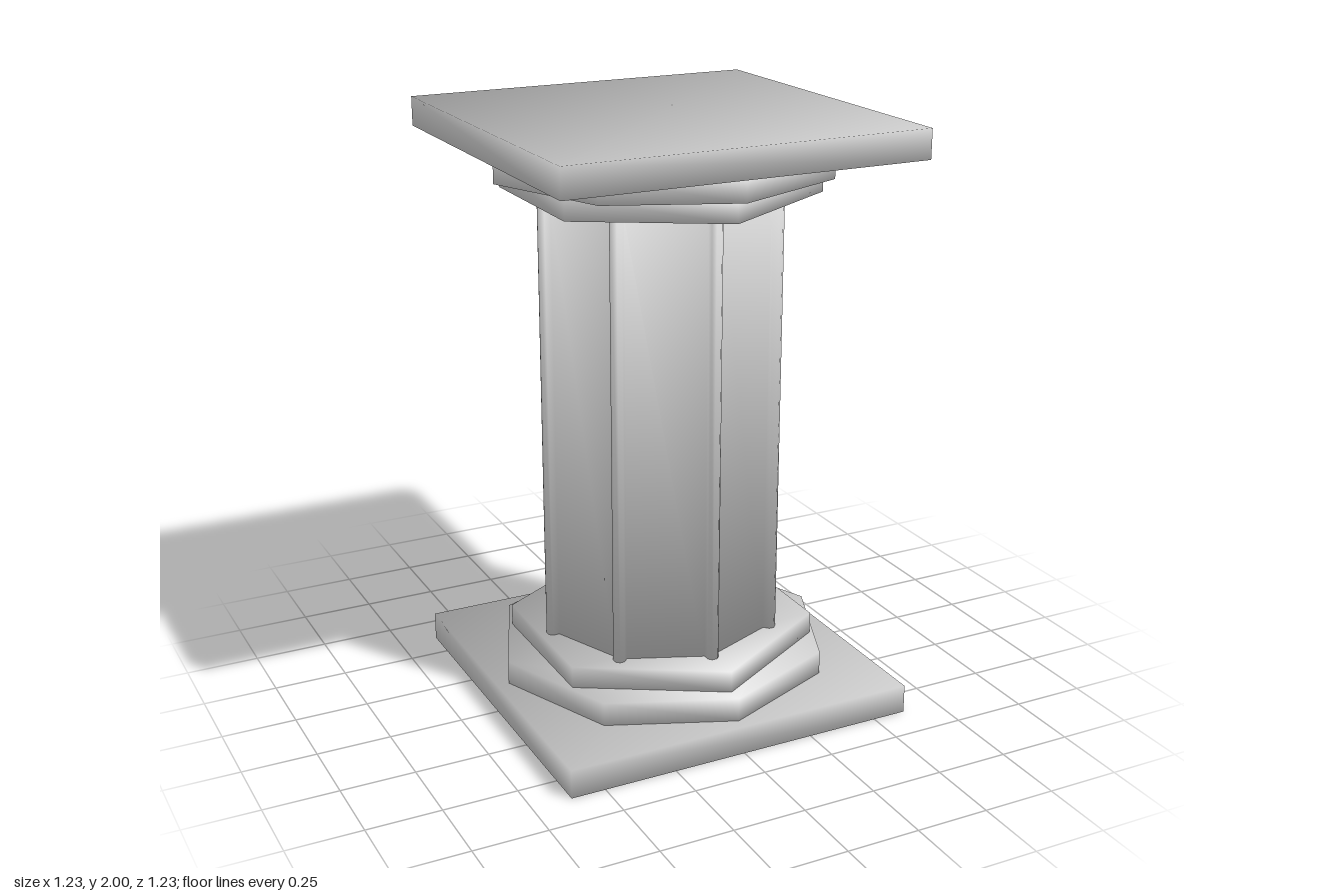
import * as THREE from 'three';
import { mergeVertices } from 'three/addons/utils/BufferGeometryUtils.js';

// Shares corners and blends their normals by face angle, so the edges shade softly
function softenNormals(geometry) {
  geometry.deleteAttribute('uv');
  geometry.deleteAttribute('normal');
  geometry.clearGroups();
  const geo = mergeVertices(geometry, 1e-4);
  const pos = geo.attributes.position, index = geo.index;
  const sums = Array.from({ length: pos.count }, () => new THREE.Vector3());
  for (let f = 0; f < index.count; f += 3) {
    const ids = [0, 1, 2].map(k => index.getX(f + k));
    const p = ids.map(i => new THREE.Vector3().fromBufferAttribute(pos, i));
    const normal = new THREE.Triangle(...p).getNormal(new THREE.Vector3());
    ids.forEach((id, k) => {
      const a = p[(k + 1) % 3].clone().sub(p[k]);
      const b = p[(k + 2) % 3].clone().sub(p[k]);
      sums[id].addScaledVector(normal, a.angleTo(b));
    });
  }
  const normals = new THREE.BufferAttribute(new Float32Array(pos.count * 3), 3);
  sums.forEach((n, i) => normals.setXYZ(i, ...n.normalize().toArray()));
  geo.setAttribute('normal', normals);
  return geo;
}

// Upright prism from a counter-clockwise outline
function prism(name, outline, y0, y1, material) {
  const geo = new THREE.ExtrudeGeometry(new THREE.Shape(outline), {
    depth: y1 - y0, steps: 1, bevelEnabled: false,
  });
  geo.rotateX(-Math.PI / 2);
  geo.translate(0, y0, 0);
  const mesh = new THREE.Mesh(softenNormals(geo), material);
  mesh.name = name;
  return mesh;
}

// Regular outline with its first corner at the given angle
function polygon(sides, radius, start) {
  return Array.from({ length: sides }, (_, i) => {
    const a = start + (i / sides) * Math.PI * 2;
    return new THREE.Vector2(Math.cos(a) * radius, Math.sin(a) * radius);
  });
}

// Eight flat panels separated by narrow rounded ribs
function shaftOutline() {
  const rib = [[0.385, -0.02], [0.408, -0.02], [0.42, -0.009],
    [0.42, 0.009], [0.408, 0.02], [0.385, 0.02]];
  const points = [];
  for (let i = 0; i < 8; i++) {
    for (const [r, t] of rib) {
      points.push(new THREE.Vector2(r, t).rotateAround(new THREE.Vector2(), i * Math.PI / 4));
    }
  }
  return points;
}

export function createModel() {
  const group = new THREE.Group();
  group.name = 'column';
  const stone = new THREE.MeshStandardMaterial({ color: 0xcccccc });
  stone.name = 'stone';

  const square = polygon(4, 0.617 * Math.SQRT2, Math.PI / 4);
  const octagon = polygon(8, 0.575, 0);
  const hexagon = polygon(6, 0.523, Math.PI / 2);

  // Stepped base and its mirrored capital
  const steps = [
    ['Slab', square, 0, 0.098],
    ['OctagonStep', octagon, 0.098, 0.178],
    ['HexagonStep', hexagon, 0.178, 0.252],
  ];
  for (const [name, outline, y0, y1] of steps) {
    group.add(prism('base' + name, outline, y0, y1, stone));
    group.add(prism('capital' + name, outline, 2 - y1, 2 - y0, stone));
  }

  // Ribbed shaft
  const shaft = prism('shaft', shaftOutline(), 0.252, 1.748, stone);
  shaft.position.x = -0.008;
  group.add(shaft);

  return group;
}
